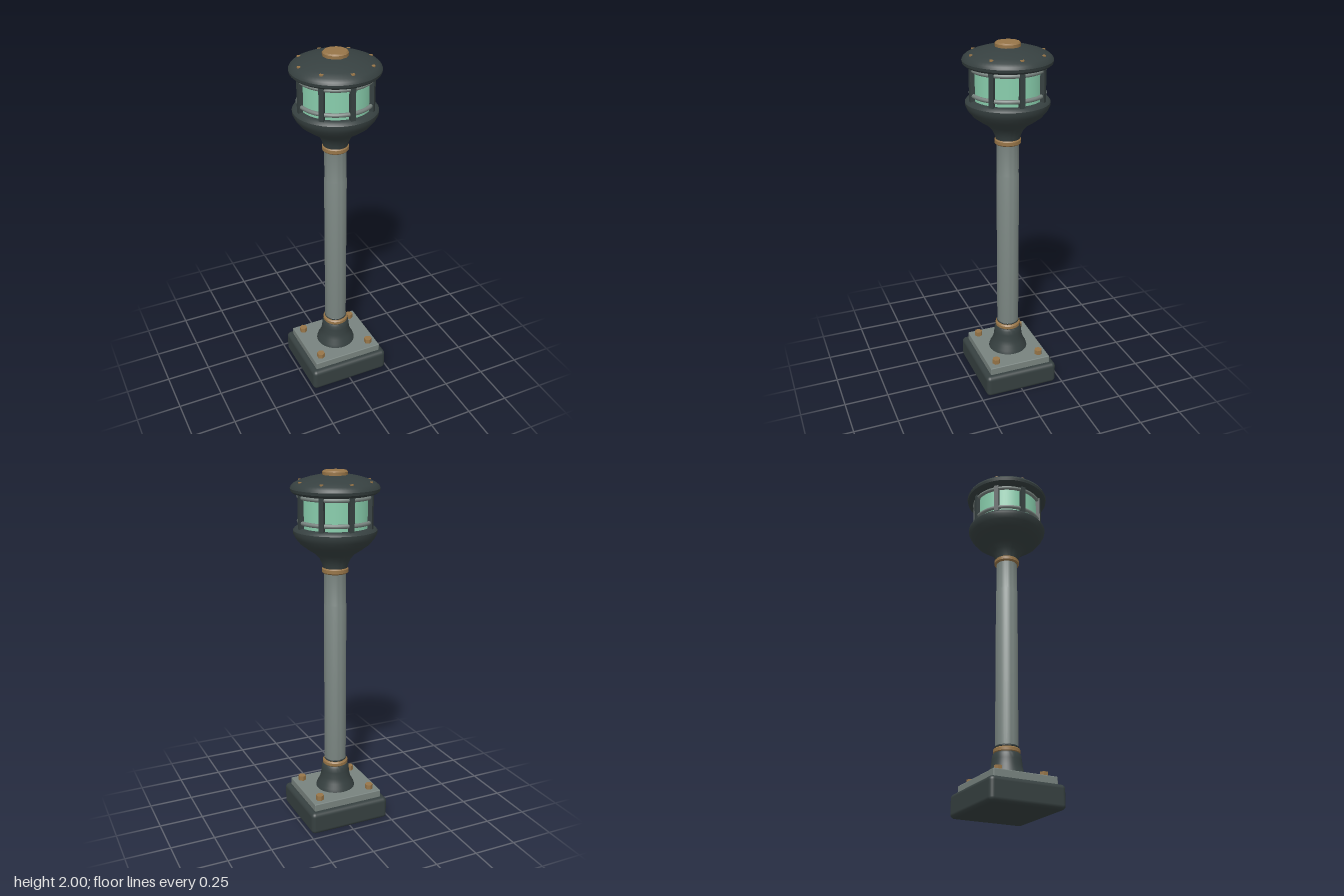
import * as THREE from 'three';
import { RoundedBoxGeometry } from 'three/addons/geometries/RoundedBoxGeometry.js';
import { toCreasedNormals } from 'three/addons/utils/BufferGeometryUtils.js';

const material = (name, color) => {
  const m = new THREE.MeshStandardMaterial({ color });
  m.name = name;
  return m;
};

export function createModel() {
  const model = new THREE.Group();
  model.name = 'lampPost';
  const iron = material('dark iron', 0x364040);
  const steel = material('grey steel', 0x78837f);
  const brass = material('brass', 0x977548);
  const glass = material('green glass', 0x88cdac);

  const add = (name, geometry, mat, x = 0, y = 0, z = 0, parent = model) => {
    const mesh = new THREE.Mesh(geometry, mat);
    mesh.name = name;
    mesh.position.set(x, y, z);
    parent.add(mesh);
    return mesh;
  };
  // Turned part from [radius, height] pairs, bottom to top
  const lathe = (name, points, mat, sides = 48) => {
    const profile = points.map(([r, y]) => new THREE.Vector2(r, y));
    return add(name, toCreasedNormals(new THREE.LatheGeometry(profile, sides), 0.6), mat);
  };
  // Collar with small chamfers
  const collar = (name, r, y0, y1, mat, sides = 32) => {
    const c = Math.min(0.007, (y1 - y0) / 3);
    return lathe(name, [[0, y0], [r - c, y0], [r, y0 + c], [r, y1 - c], [r - c, y1], [0, y1]], mat, sides);
  };

  // Plinth, plate and anchor bolts
  add('plinth', new RoundedBoxGeometry(0.476, 0.13, 0.43, 4, 0.024), iron, 0, 0.065, 0);
  add('basePlate', new RoundedBoxGeometry(0.416, 0.05, 0.366, 2, 0.005), steel, 0, 0.147, 0);
  const boltGeometry = toCreasedNormals(new THREE.CylinderGeometry(0.023, 0.023, 0.03, 6), 0.5);
  for (const x of [-0.157, 0.157]) {
    for (const z of [-0.132, 0.132]) add('anchorBolt', boltGeometry, brass, x, 0.185, z);
  }

  // Flared foot and pole
  lathe('foot', [[0, 0.17], [0.113, 0.17], [0.107, 0.19], [0.093, 0.215], [0.084, 0.245],
    [0.08, 0.28], [0.077, 0.305], [0.07, 0.317], [0, 0.317]], iron);
  collar('lowerCollar', 0.072, 0.315, 0.345, brass);
  collar('poleSocket', 0.064, 0.344, 0.36, iron);
  lathe('pole', [[0.062, 0.35], [0.062, 1.28], [0.06, 1.285], [0.06, 1.46]], steel);
  collar('upperCollar', 0.072, 1.455, 1.487, brass);

  // Lantern bowl
  lathe('lanternBowl', [[0, 1.486], [0.066, 1.486], [0.071, 1.505], [0.084, 1.535], [0.108, 1.562],
    [0.148, 1.588], [0.187, 1.617], [0.212, 1.648], [0.224, 1.672], [0.225, 1.69],
    [0.216, 1.702], [0.2, 1.708], [0, 1.708]], iron, 64);

  // Glass drum with rails and eight posts
  add('glassDrum', new THREE.CylinderGeometry(0.186, 0.186, 0.18, 64, 1, true), glass, 0, 1.795, 0);
  for (const y of [1.737, 1.868]) {
    const rail = add('glassRail', new THREE.TorusGeometry(0.193, 0.011, 10, 64), steel, 0, y, 0);
    rail.rotation.x = Math.PI / 2;
  }
  const postGeometry = new THREE.BoxGeometry(0.026, 0.185, 0.026);
  const rivetGeometry = toCreasedNormals(new THREE.CylinderGeometry(0.011, 0.011, 0.02, 12), 0.6);
  for (let i = 0; i < 8; i++) {
    const bay = new THREE.Group();
    bay.name = 'lanternBay';
    bay.rotation.y = (i * Math.PI) / 4;
    add('lanternPost', postGeometry, iron, 0, 1.793, 0.196, bay);
    add('roofRivet', rivetGeometry, brass, 0, 1.938, 0.197, bay);
    model.add(bay);
  }

  // Roof and cap
  lathe('roof', [[0, 1.878], [0.2, 1.878], [0.222, 1.884], [0.235, 1.895], [0.238, 1.91],
    [0.232, 1.923], [0.217, 1.936], [0.185, 1.951], [0.14, 1.965], [0.09, 1.976], [0, 1.98]], iron, 64);
  collar('roofCap', 0.068, 1.97, 2, brass, 12);
  return model;
}
